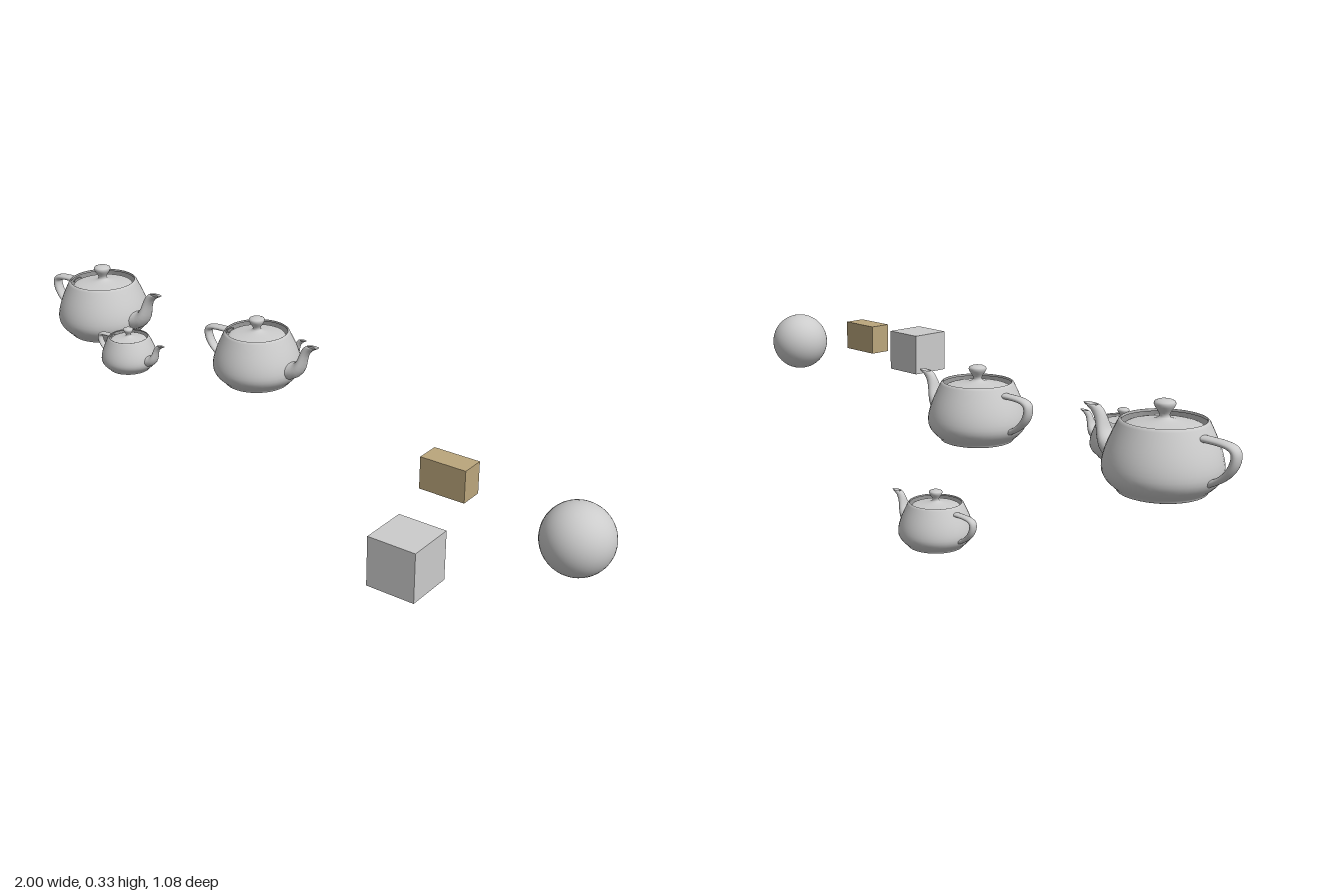
import * as THREE from 'three';
import { ParametricGeometry } from 'three/addons/geometries/ParametricGeometry.js';

const grey = new THREE.MeshStandardMaterial({ color: 0xcccccc });
const greyThin = new THREE.MeshStandardMaterial({ color: 0xcccccc, side: THREE.DoubleSide });
const tan = new THREE.MeshStandardMaterial({ color: 0xbba67c });

const curve = (p) => new THREE.CubicBezierCurve(...p.map(([x, y]) => new THREE.Vector2(x, y)));
const bezier = (a, b, c, d, t) => {
  const s = 1 - t;
  return s * s * s * a + 3 * s * s * t * b + 3 * s * t * t * c + t * t * t * d;
};

function addMesh(parent, name, geometry, material) {
  const mesh = new THREE.Mesh(geometry, material);
  mesh.name = name;
  parent.add(mesh);
  return mesh;
}

// Lathe of cubic segments that share their end points
function turned(points) {
  const profile = [];
  for (let i = 0; i + 3 < points.length; i += 3) {
    const pts = curve(points.slice(i, i + 4)).getPoints(8);
    profile.push(...(i ? pts.slice(1) : pts));
  }
  return new THREE.LatheGeometry(profile, 40);
}

// Tube between two side curves in the x-y plane, bulging to +-z by widths along its length
function sleeve(first, second, widths) {
  const a = curve(first), b = curve(second);
  return new ParametricGeometry((u, v, target) => {
    const p = a.getPoint(v), q = b.getPoint(v);
    const side = u < 0.5 ? 1 : -1;
    const t = u < 0.5 ? u * 2 : 2 - u * 2;
    const w = side * bezier(...widths, v);
    target.set(bezier(p.x, p.x, q.x, q.x, t), bezier(p.y, p.y, q.y, q.y, t), bezier(0, w, w, 0, t));
  }, 20, 10);
}

// Teapot parts, in units where the body radius is 2
const bodyGeometry = turned([
  [0, 0], [1.425, 0], [1.5, 0.075], [1.5, 0.15],
  [1.5, 0.225], [2, 0.45], [2, 0.9],
  [2, 1.35], [1.75, 1.875], [1.5, 2.4],
  [1.4375, 2.53], [1.3375, 2.53], [1.4, 2.4],
]);
const lidGeometry = turned([
  [1.3, 2.25], [1.3, 2.4], [0.4, 2.4], [0.2, 2.55],
  [0, 2.7], [0.8, 3.15], [0, 3.15],
]);
const handleUpper = sleeve(
  [[-1.6, 2.025], [-2.3, 2.025], [-2.7, 2.025], [-2.7, 1.8]],
  [[-1.5, 2.25], [-2.5, 2.25], [-3, 2.25], [-3, 1.8]], [0.3, 0.3, 0.3, 0.3]);
const handleLower = sleeve(
  [[-2.7, 1.8], [-2.7, 1.575], [-2.5, 1.125], [-2, 0.9]],
  [[-3, 1.8], [-3, 1.35], [-2.65, 0.9375], [-1.9, 0.6]], [0.3, 0.3, 0.3, 0.3]);
const spoutNeck = sleeve(
  [[1.7, 1.425], [2.6, 1.425], [2.3, 2.1], [2.7, 2.4]],
  [[1.7, 0.6], [3.1, 0.825], [2.4, 2.025], [3.3, 2.4]], [0.66, 0.66, 0.25, 0.25]);
const spoutLip = sleeve(
  [[2.7, 2.4], [2.8, 2.475], [2.9, 2.475], [2.8, 2.4]],
  [[3.3, 2.4], [3.525, 2.494], [3.45, 2.5125], [3.2, 2.4]], [0.25, 0.25, 0.15, 0.15]);

function teapot(name, scale, x, y, z) {
  const pot = new THREE.Group();
  pot.name = name;
  addMesh(pot, 'body', bodyGeometry, greyThin);
  addMesh(pot, 'lid', lidGeometry, greyThin);
  addMesh(pot, 'handleUpper', handleUpper, greyThin);
  addMesh(pot, 'handleLower', handleLower, greyThin);
  addMesh(pot, 'spoutNeck', spoutNeck, greyThin);
  addMesh(pot, 'spoutLip', spoutLip, greyThin);
  pot.scale.setScalar(scale);
  pot.position.set(x, y, z);
  return pot;
}

export function createModel() {
  const model = new THREE.Group();
  model.name = 'teapotsAndSolids';

  // Four teapots of different sizes
  model.add(
    teapot('largeTeapot', 0.0664, -0.8, 0.125, -0.107),
    teapot('mediumTeapot', 0.0603, -0.215, 0.125, -0.095),
    teapot('smallTeapot', 0.0385, -0.558, 0.125, 0.046),
    teapot('lowTeapot', 0.041, -0.459, 0, -0.456),
  );

  // Plain solids
  addMesh(model, 'ball', new THREE.SphereGeometry(0.084, 40, 24), grey).position.set(0.914, 0.171, 0.222);
  addMesh(model, 'cube', new THREE.BoxGeometry(0.12, 0.12, 0.12), grey).position.set(0.645, 0.147, 0.477);
  addMesh(model, 'tanBlock', new THREE.BoxGeometry(0.118, 0.08, 0.06), tan).position.set(0.597, 0.229, 0.234);

  return model;
}
